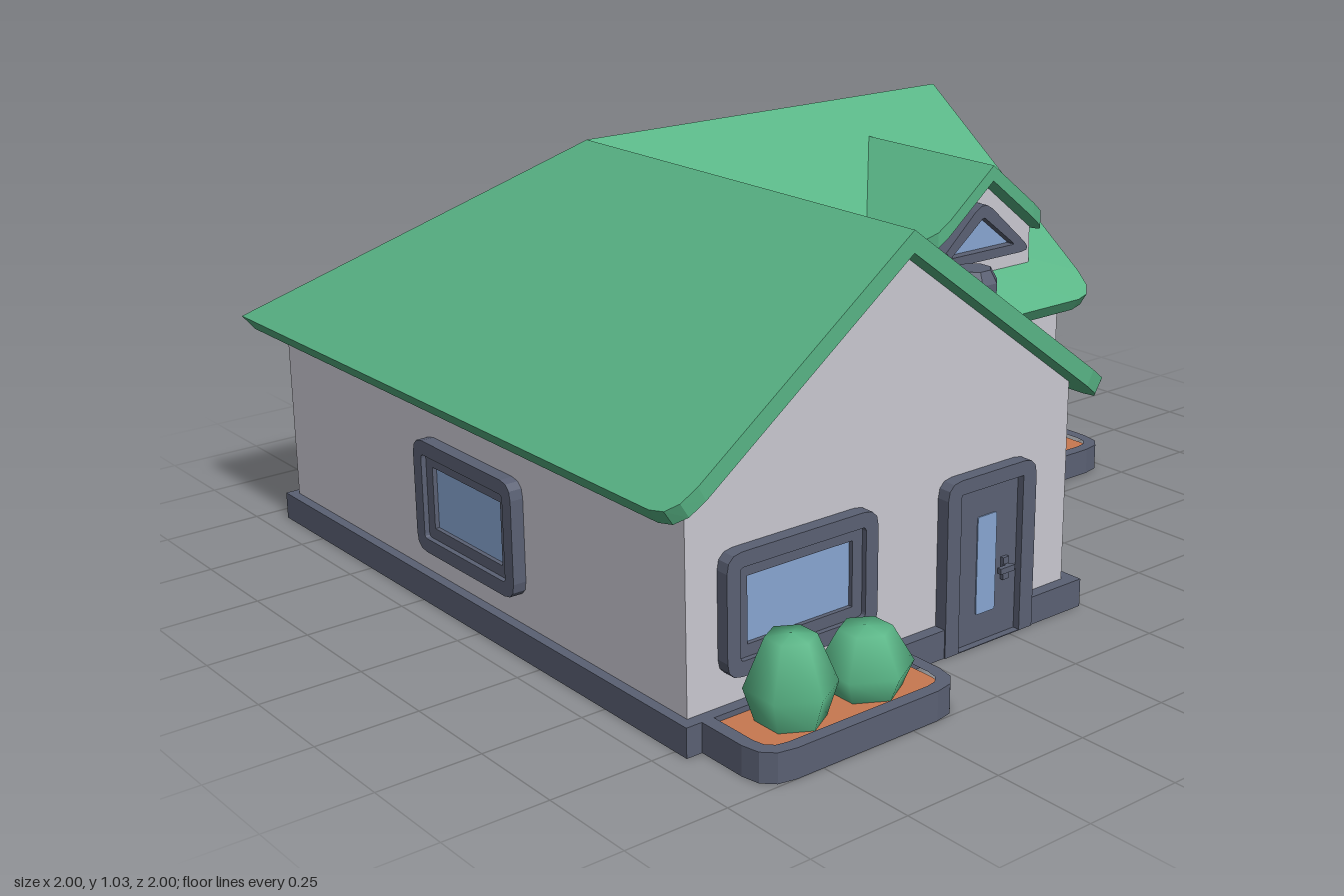
import * as THREE from 'three';

const paint = (name, color) => Object.assign(new THREE.MeshStandardMaterial({ color }), { name });

// Closed outline from [x, y, cornerRadius] points
function outline(pts, Type = THREE.Shape) {
  const s = new Type();
  pts.forEach(([x, y, r = 0], i) => {
    const n = pts.length;
    const toward = (q) => {
      const l = Math.hypot(q[0] - x, q[1] - y);
      return [x + ((q[0] - x) * r) / l, y + ((q[1] - y) * r) / l];
    };
    const a = toward(pts[(i + n - 1) % n]);
    const b = toward(pts[(i + 1) % n]);
    if (i === 0) s.moveTo(...a); else s.lineTo(...a);
    if (r) s.quadraticCurveTo(x, y, ...b);
  });
  s.closePath();
  return s;
}
const rect = (x0, y0, x1, y1, rTop = 0, rBottom = rTop) =>
  [[x0, y0, rBottom], [x1, y0, rBottom], [x1, y1, rTop], [x0, y1, rTop]];

function extrude(pts, depth, hole) {
  const s = outline(pts);
  if (hole) s.holes.push(outline(hole, THREE.Path));
  return new THREE.ExtrudeGeometry(s, { depth, bevelEnabled: false, curveSegments: 3 });
}
// Extrude a floor plan given in [x, z] upward
const flip = (pts) => pts && pts.map(([x, z, r]) => [x, -z, r]);
const plan = (pts, h, hole) => extrude(flip(pts), h, flip(hole)).rotateX(-Math.PI / 2);

export function createModel() {
  const green = paint('green', 0x58b485);
  const wall = paint('wall grey', 0xc9c8d1);
  const slate = paint('slate', 0x5a6073);
  const glass = paint('glass blue', 0x88a6d2);
  const soil = paint('soil', 0xc87850);

  const model = new THREE.Group();
  model.name = 'house';
  const add = (parent, name, geo, mat, x = 0, y = 0, z = 0) => {
    const m = new THREE.Mesh(geo, mat);
    m.name = name;
    m.position.set(x, y, z);
    parent.add(m);
    return m;
  };
  const place = (name, x, z, turn = 0) => {
    const g = new THREE.Group();
    g.name = name;
    g.position.set(x, 0, z);
    g.rotation.y = turn;
    model.add(g);
    return g;
  };

  // Foundation with notches at the three doors
  add(model, 'foundation', plan([
    [-0.94, -0.94], [-0.94, 0.79], [-0.2, 0.79], [-0.2, 0.75], [0.06, 0.75], [0.06, 0.79],
    [0.24, 0.79], [0.24, 0.23], [0.27, 0.23], [0.27, 0.19], [0.7, 0.19], [0.7, 0.23],
    [0.79, 0.23], [0.79, -0.94], [0.07, -0.94], [0.07, -0.9], [-0.19, -0.9], [-0.19, -0.94],
  ], 0.07), slate);

  // Walls: corner block and two gabled wings
  const C = -0.355;
  const gable = (half, y0, eave, peak, depth) =>
    extrude([[-half, y0], [half, y0], [half, eave], [0, peak], [-half, eave]], depth);
  add(model, 'cornerWalls', new THREE.BoxGeometry(1.12, 0.55, 1.12), wall, C, 0.285, C);
  add(model, 'frontWing', gable(0.56, 0.01, 0.565, 0.982, 1.115), wall, C, 0, C);
  add(model, 'sideWing', gable(0.56, 0.01, 0.565, 0.982, 1.115).rotateY(Math.PI / 2), wall, C, 0, C);

  // Sloping roof slab: height falls with distance from the ridge
  function slab(name, pts, thick, height, tuck = (v) => v) {
    const geo = plan(pts, thick);
    const p = geo.attributes.position;
    for (let i = 0; i < p.count; i++) {
      let x = p.getX(i), z = p.getZ(i);
      const y = p.getY(i);
      if (y < thick / 2) { x = tuck(x); z = tuck(z); }
      p.setXYZ(i, x, height(x, z) + y - thick, z);
    }
    geo.computeVertexNormals();
    add(model, name, geo, green);
  }
  const lo = C - 0.643, hi = C + 0.64, end = 0.825, r = 0.07;
  const overX = (x) => 1.03 - 0.742 * Math.abs(x - C);
  const alongX = (x) => overX(x), alongZ = (x, z) => overX(z);
  const tuck = (v) => (Math.abs(v - C) < 0.66 ? C + (v - C) * 0.965 : v);
  slab('roofLeft', [[lo, lo], [C, C], [C, end], [lo, end, r]], 0.05, alongX, tuck);
  slab('roofBack', [[lo, lo], [end, lo, r], [end, C], [C, C]], 0.05, alongZ, tuck);
  slab('roofInnerLeft', [[C, C], [hi, hi], [hi, end, r], [C, end]], 0.05, alongX, tuck);
  slab('roofInnerFront', [[C, C], [end, C], [end, hi, r], [hi, hi]], 0.05, alongZ, tuck);

  // Dormer
  const D = 0.48;
  add(model, 'dormerWalls', gable(0.205, 0.55, 0.745, 0.905, 0.365), wall, D, 0, -0.2);
  for (const s of [-1, 1]) {
    slab('dormerRoof', [[D, -0.26], [D, 0.23], [D + s * 0.21, 0.23, 0.06], [D + s * 0.21, -0.06]],
      0.04, (x) => 0.945 - 0.8 * Math.abs(x - D));
  }
  const dormer = place('dormerWindow', D, 0.165);
  const triangle = (w, y0, y1, c) => [[-w, y0, c], [w, y0, c], [0, y1, c]];
  add(dormer, 'dormerFrame', extrude(triangle(0.18, 0.69, 0.85, 0.04), 0.035,
    triangle(0.115, 0.715, 0.805, 0.008)), slate);
  add(dormer, 'dormerGlass', extrude(triangle(0.12, 0.712, 0.81, 0), 0.009), glass);

  // Windows: stepped frame around a pane
  function windowAt(x, z, turn, w) {
    const g = place('window', x, z, turn);
    const ring = (a, b, ca, cb) => [rect(-w + a, 0.14 + a, w - a, 0.42 - a, ca),
      rect(-w + b, 0.14 + b, w - b, 0.42 - b, cb)];
    const [o1, i1] = ring(0, 0.035, 0.04, 0.01);
    const [o2, i2] = ring(0.03, 0.063, 0, 0);
    add(g, 'windowFrame', extrude(o1, 0.033, i1), slate);
    add(g, 'windowSash', extrude(o2, 0.02, i2), slate);
    add(g, 'windowPane', extrude(rect(-w + 0.06, 0.2, w - 0.06, 0.36), 0.009), glass);
  }
  windowAt(-0.625, 0.76, 0, 0.208);
  windowAt(-0.915, -0.04, -Math.PI / 2, 0.208);
  windowAt(0.49, -0.915, Math.PI, 0.145);
  windowAt(-0.62, -0.915, Math.PI, 0.145);

  // Doors: frame, leaf, optional pane
  function doorAt(name, x, z, turn, w, pane) {
    const g = place(name, x, z, turn);
    add(g, 'doorFrame', extrude(rect(-w, 0, w, 0.42, 0.04, 0), 0.033,
      rect(-w + 0.042, 0.002, w - 0.042, 0.385)), slate);
    add(g, 'doorLeaf', extrude(rect(-w + 0.04, 0.001, w - 0.04, 0.387), 0.015), slate);
    if (pane) add(g, 'doorPane', extrude(rect(...pane, 0.006), 0.004), glass, 0, 0, 0.014);
    return g;
  }
  const front = doorAt('frontDoor', -0.068, 0.76, 0, 0.14, [-0.03, 0.07, 0.03, 0.31]);
  const back = doorAt('backDoor', -0.06, -0.915, Math.PI, 0.14);
  for (const g of [front, back]) {
    add(g, 'handlePlate', new THREE.BoxGeometry(0.018, 0.055, 0.012), slate, 0.058, 0.165, 0.018);
    add(g, 'handleBar', new THREE.BoxGeometry(0.045, 0.014, 0.012), slate, 0.046, 0.17, 0.036);
    add(g, 'handleStem', new THREE.BoxGeometry(0.012, 0.012, 0.02), slate, 0.058, 0.17, 0.028);
  }
  const garage = doorAt('garageDoor', 0.483, 0.205, 0, 0.222, [-0.122, 0.25, 0.115, 0.31]);
  add(garage, 'garageHandle', new THREE.BoxGeometry(0.06, 0.018, 0.02), slate, 0, 0.062, 0.02);

  // Chimney pots
  const pot = [[0, 0.58], [0.04, 0.58], [0.04, 0.685], [0.06, 0.715], [0.06, 0.765], [0.043, 0.795], [0, 0.795]];
  for (const z of [0.36, 0.505]) {
    const geo = new THREE.LatheGeometry(pot.map((p) => new THREE.Vector2(...p)), 8).toNonIndexed();
    geo.computeVertexNormals();
    add(model, 'chimney', geo, slate, 0.14, 0, z).rotation.y = Math.PI / 8;
  }

  // Planters, each with a tall and a short bush
  const bush = (h, rad) => new THREE.LatheGeometry([[0.75, 0], [1, 0.4], [0.55, 0.97], [0, 1]]
    .map(([a, b]) => new THREE.Vector2(a * rad, b * h)), 6);
  const half = 0.275;
  for (const [x, z, turn] of [[-0.625, 0.76, 0], [0.76, -0.085, Math.PI / 2]]) {
    const g = place('planter', x, z, turn);
    const tub = (i, back, c) => [[-half + i, back], [half - i, back], [half - i, 0.24 - i, c], [-half + i, 0.24 - i, c]];
    add(g, 'planterRim', plan(tub(0, 0.005, 0.08), 0.07, tub(0.032, 0.02, 0.05)), slate);
    add(g, 'planterSoil', plan(tub(0.025, 0.012, 0.05), 0.055), soil, 0, 0.002, 0);
    add(g, 'tallBush', bush(0.195, 0.102), green, -0.105, 0.055, 0.112);
    add(g, 'shortBush', bush(0.148, 0.108), green, 0.105, 0.055, 0.108);
  }
  return model;
}
